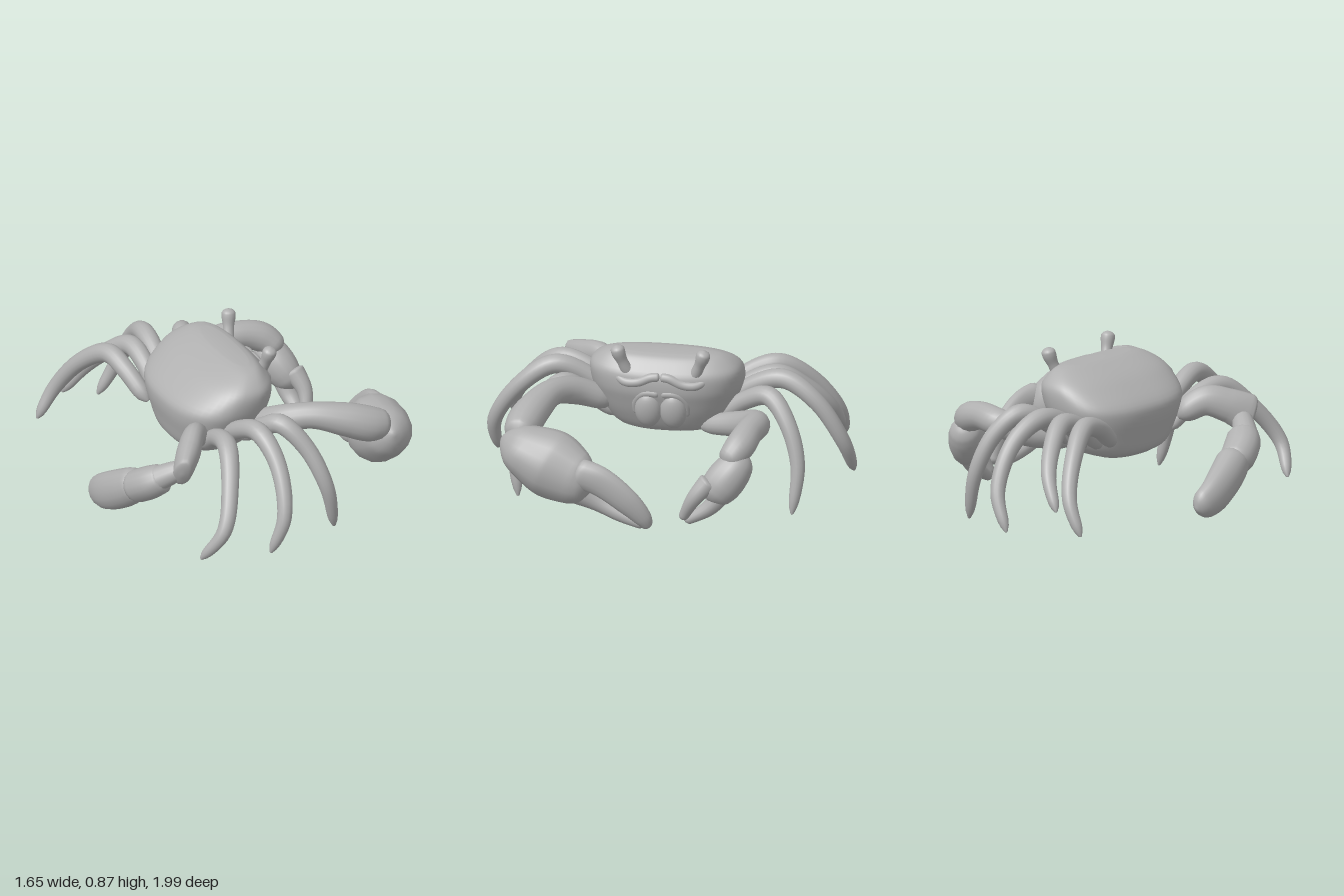
import * as THREE from 'three';

const shell = new THREE.MeshStandardMaterial({ color: 0xb0b0b0 });
shell.name = 'shell grey';

// Closed smooth skin over equal-sized rings of points, pointed at both ends
function loft(rings, start, end) {
  const n = rings[0].length, index = [], pts = [...rings.flat(), start, end];
  const s = pts.length - 2, e = s + 1, last = (rings.length - 1) * n;
  for (let j = 0; j < n; j++) {
    const k = (j + 1) % n;
    for (let i = 0; i < rings.length - 1; i++) {
      const a = i * n + j, b = i * n + k;
      index.push(a, b, a + n, b, b + n, a + n);
    }
    index.push(s, k, j, e, last + j, last + k);
  }
  const g = new THREE.BufferGeometry().setFromPoints(pts);
  g.setIndex(index);
  g.computeVertexNormals();
  return g;
}

// Tapered limb: each stop is [x, y, z, half width, half height]
function limb(stops, side = [1, 0, 0], round = 0.08, steps = 36, sides = 16) {
  const path = new THREE.CatmullRomCurve3(stops.map(p => new THREE.Vector3(p[0], p[1], p[2])));
  const size = new THREE.CatmullRomCurve3(
    stops.map((p, i) => new THREE.Vector3(p[3], p[4] ?? p[3], i)), false, 'catmullrom', 0.5);
  const normal = new THREE.Vector3(...side), rings = [];
  for (let i = 0; i <= steps; i++) {
    const t = 0.004 + 0.992 * i / steps;
    const c = path.getPoint(t), tan = path.getTangent(t), r = size.getPoint(t);
    normal.addScaledVector(tan, -normal.dot(tan)).normalize();
    const up = tan.clone().cross(normal);
    const d = Math.min(1, Math.min(t, 1 - t) / round);
    const cap = Math.sqrt(1 - (1 - d) ** 2);
    rings.push(Array.from({ length: sides }, (_, j) => {
      const a = j / sides * Math.PI * 2;
      return c.clone().addScaledVector(normal, Math.cos(a) * r.x * cap)
        .addScaledVector(up, Math.sin(a) * r.y * cap);
    }));
  }
  return loft(rings, path.getPoint(0), path.getPoint(1));
}

// Body: rounded-corner rings stacked in y, shifted so the back slopes
function bodyGeometry() {
  // y, back x, front x, half depth
  const rows = [
    [0.32, -0.29, -0.05, 0.18], [0.36, -0.34, 0.06, 0.28], [0.45, -0.365, 0.12, 0.345],
    [0.55, -0.385, 0.16, 0.39], [0.62, -0.37, 0.18, 0.41], [0.70, -0.275, 0.175, 0.41],
    [0.75, -0.195, 0.14, 0.375], [0.79, -0.1, 0.1, 0.31], [0.805, -0.05, 0.06, 0.23]];
  const edge = k => new THREE.CatmullRomCurve3(
    rows.map(r => new THREE.Vector3(r[k], r[0], r[3])), false, 'catmullrom', 0.5);
  const back = edge(1), front = edge(2);
  const pow = v => Math.sign(v) * Math.abs(v) ** 0.8;
  const rings = [];
  for (let i = 0; i <= 32; i++) {
    const a = back.getPoint(i / 32), b = front.getPoint(i / 32);
    rings.push(Array.from({ length: 48 }, (_, j) => {
      const t = j / 48 * Math.PI * 2;
      return new THREE.Vector3((a.x + b.x) / 2 + pow(Math.sin(t)) * (b.x - a.x) / 2, a.y, pow(Math.cos(t)) * a.z);
    }));
  }
  return loft(rings, new THREE.Vector3(-0.17, 0.318, 0), new THREE.Vector3(0.005, 0.808, 0));
}

export function createModel() {
  const model = new THREE.Group();
  const add = (name, geometry) => {
    const m = new THREE.Mesh(geometry, shell);
    m.name = name;
    model.add(m);
    return m;
  };

  add('carapace', bodyGeometry());

  // Face details, mirrored across z
  for (const s of [-1, 1]) {
    add('eyeStalk', limb([[0.1, 0.66, s * 0.15, 0.034], [0.125, 0.72, s * 0.185, 0.032],
      [0.14, 0.78, s * 0.21, 0.03], [0.15, 0.83, s * 0.228, 0.038], [0.155, 0.87, s * 0.238, 0.034]], [1, 0, 0], 0.15));
    add('browRidge', limb([[0.12, 0.69, s * 0.25, 0.02], [0.155, 0.665, s * 0.19, 0.025],
      [0.165, 0.67, s * 0.12, 0.025], [0.165, 0.7, s * 0.05, 0.025], [0.16, 0.705, 0, 0.025]], [0, 1, 0]));
    add('mouthRim', limb([[0.16, 0.61, 0, 0.025], [0.155, 0.605, s * 0.09, 0.025],
      [0.135, 0.55, s * 0.135, 0.022], [0.11, 0.47, s * 0.135, 0.02]], [0, 1, 0]));
    const plate = add('mouthPlate', new THREE.SphereGeometry(1, 24, 16));
    plate.position.set(0.14, 0.505, s * 0.068);
    plate.scale.set(0.05, 0.105, 0.072);
    plate.rotation.z = -0.2;
  }

  // Walking legs: hip, thigh, knee, shin, foot, tip
  const radii = [0.045, 0.05, 0.053, 0.047, 0.04, 0.026];
  const legs = {
    leftFrontLeg: [[-0.04, 0.39, 0.25], [0, 0.54, 0.45], [0.05, 0.59, 0.55], [0.14, 0.48, 0.67], [0.21, 0.27, 0.77], [0.265, 0.005, 0.75]],
    rightFrontLeg: [[-0.04, 0.39, -0.25], [0, 0.54, -0.44], [0.05, 0.59, -0.57], [0.13, 0.48, -0.68], [0.2, 0.27, -0.75], [0.265, 0.005, -0.73]],
    leftMiddleLeg: [[-0.17, 0.39, 0.25], [-0.15, 0.56, 0.45], [-0.12, 0.62, 0.62], [-0.1, 0.5, 0.8], [-0.14, 0.27, 0.945], [-0.22, 0.07, 0.94]],
    rightMiddleLeg: [[-0.18, 0.39, -0.25], [-0.165, 0.56, -0.45], [-0.15, 0.61, -0.62], [-0.12, 0.5, -0.8], [-0.14, 0.27, -0.94], [-0.24, 0.07, -0.98]],
    leftRearLeg: [[-0.27, 0.4, 0.25], [-0.28, 0.55, 0.46], [-0.31, 0.58, 0.62], [-0.38, 0.45, 0.78], [-0.48, 0.25, 0.9], [-0.59, 0.08, 0.84]],
    rightInnerRearLeg: [[-0.25, 0.4, -0.25], [-0.25, 0.55, -0.43], [-0.26, 0.59, -0.57], [-0.32, 0.5, -0.71], [-0.4, 0.37, -0.82], [-0.51, 0.21, -0.88]],
    rightOuterRearLeg: [[-0.33, 0.43, -0.24], [-0.38, 0.56, -0.42], [-0.405, 0.59, -0.55], [-0.48, 0.48, -0.71], [-0.57, 0.28, -0.84], [-0.67, 0.1, -0.86]],
  };
  for (const [name, pts] of Object.entries(legs)) {
    add(name, limb(pts.map((p, i) => [...p, radii[i]])));
  }

  // Broad rear limb ending in a paddle
  add('paddleThigh', limb([[-0.3, 0.47, 0.29, 0.06], [-0.4, 0.555, 0.4, 0.08, 0.06], [-0.48, 0.525, 0.495, 0.092, 0.065],
    [-0.55, 0.48, 0.57, 0.105, 0.055], [-0.575, 0.465, 0.6, 0.085, 0.045]], [0.77, 0, -0.64], 0.12));
  add('paddleJoint', limb([[-0.52, 0.48, 0.55, 0.045], [-0.58, 0.44, 0.505, 0.06], [-0.65, 0.39, 0.45, 0.07]]));
  add('paddleUpper', limb([[-0.6, 0.41, 0.48, 0.08, 0.075], [-0.66, 0.355, 0.41, 0.1, 0.09],
    [-0.715, 0.27, 0.28, 0.09]], [1, 0, 0], 0.2));
  add('paddle', limb([[-0.68, 0.33, 0.35, 0.09], [-0.725, 0.24, 0.22, 0.085, 0.105],
    [-0.758, 0.16, 0.08, 0.068, 0.1], [-0.755, 0.105, -0.05, 0.052, 0.07]], [1, 0, 0], 0.16));

  // Large claw
  add('largeArm', limb([[0, 0.48, 0.28, 0.06], [0.1, 0.57, 0.47, 0.075], [0.23, 0.605, 0.57, 0.072],
    [0.4, 0.57, 0.645, 0.092], [0.52, 0.53, 0.68, 0.095], [0.63, 0.51, 0.69, 0.07]], [0, 1, 0]));
  add('largePalm', limb([[0.61, 0.49, 0.78, 0.07, 0.08], [0.63, 0.44, 0.66, 0.145, 0.14],
    [0.655, 0.375, 0.5, 0.172, 0.185], [0.71, 0.325, 0.35, 0.118, 0.15], [0.73, 0.305, 0.26, 0.07, 0.09]], [1, 0, 0], 0.18));
  add('largeUpperFinger', limb([[0.755, 0.385, 0.36, 0.065, 0.085], [0.775, 0.345, 0.22, 0.045, 0.085],
    [0.775, 0.235, 0.07, 0.04, 0.072], [0.755, 0.14, -0.01, 0.035, 0.05], [0.735, 0.08, -0.035, 0.025]]));
  add('largeLowerFinger', limb([[0.69, 0.27, 0.4, 0.085], [0.685, 0.19, 0.25, 0.05, 0.052],
    [0.695, 0.13, 0.12, 0.042], [0.715, 0.085, -0.02, 0.03]]));

  // Small claw, folded inward below its arm
  add('smallArm', limb([[0.0, 0.38, -0.18, 0.05], [0.1, 0.44, -0.42, 0.07], [0.23, 0.5, -0.53, 0.076],
    [0.37, 0.51, -0.515, 0.075], [0.49, 0.475, -0.485, 0.08], [0.57, 0.4, -0.42, 0.06]], [0, 1, 0]));
  add('smallPalm', limb([[0.5, 0.44, -0.53, 0.06], [0.535, 0.365, -0.465, 0.095, 0.1],
    [0.575, 0.28, -0.4, 0.09, 0.105], [0.605, 0.2, -0.34, 0.05, 0.07]], [1, 0, 0], 0.18));
  add('smallOuterFinger', limb([[0.57, 0.26, -0.42, 0.06], [0.585, 0.16, -0.345, 0.05, 0.045], [0.595, 0.07, -0.21, 0.025]]));
  add('smallInnerFinger', limb([[0.6, 0.32, -0.35, 0.06], [0.63, 0.22, -0.265, 0.042], [0.6, 0.085, -0.195, 0.025]]));

  return model;
}
